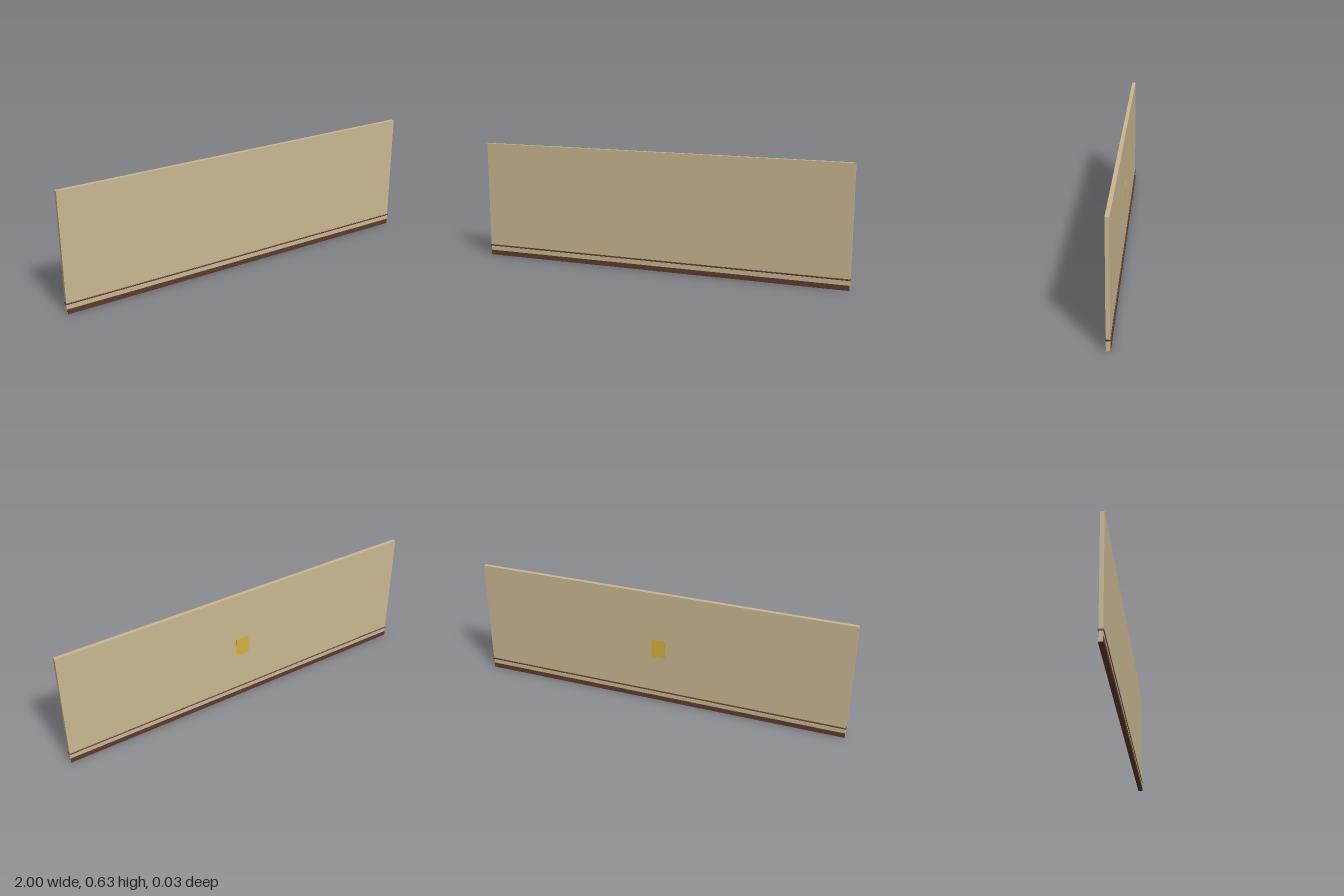
import * as THREE from 'three';

export function createModel() {
  const group = new THREE.Group();
  const material = (name, color) => {
    const m = new THREE.MeshStandardMaterial({ color });
    m.name = name;
    return m;
  };
  const plaster = material('tan plaster', 0xc8b690);
  const wood = material('dark brown wood', 0x5c3a2e);
  const gold = material('gold', 0xd4af37);

  const add = (name, geometry, mat, x, y, z) => {
    const mesh = new THREE.Mesh(geometry, mat);
    mesh.name = name;
    mesh.position.set(x, y, z);
    group.add(mesh);
  };
  // Box standing on a given height
  const box = (name, w, h, d, mat, bottom, z = 0) =>
    add(name, new THREE.BoxGeometry(w, h, d), mat, 0, bottom + h / 2, z);

  // Wall slab, its ends just proud of the baseboard
  box('wallPanel', 1.997, 0.63, 0.02, plaster, 0.0005);
  box('baseboard', 1.995, 0.026, 0.0236, wood, 0);

  // Thin rail with chamfered edges, wrapping the wall
  const hw = 0.013, hh = 0.004, c = 0.0015;
  const profile = new THREE.Shape([
    [hw, -hh + c], [hw, hh - c], [hw - c, hh], [-hw + c, hh],
    [-hw, hh - c], [-hw, -hh + c], [-hw + c, -hh], [hw - c, -hh],
  ].map(([x, y]) => new THREE.Vector2(x, y)));
  const rail = new THREE.ExtrudeGeometry(profile, { depth: 2, bevelEnabled: false });
  rail.translate(0, 0, -1);
  rail.rotateY(Math.PI / 2);
  add('trimRail', rail, wood, 0, 0.0546, 0);

  // Small plate on the back
  box('backPlate', 0.075, 0.1, 0.0025, gold, 0.265, -0.0113);

  return group;
}
